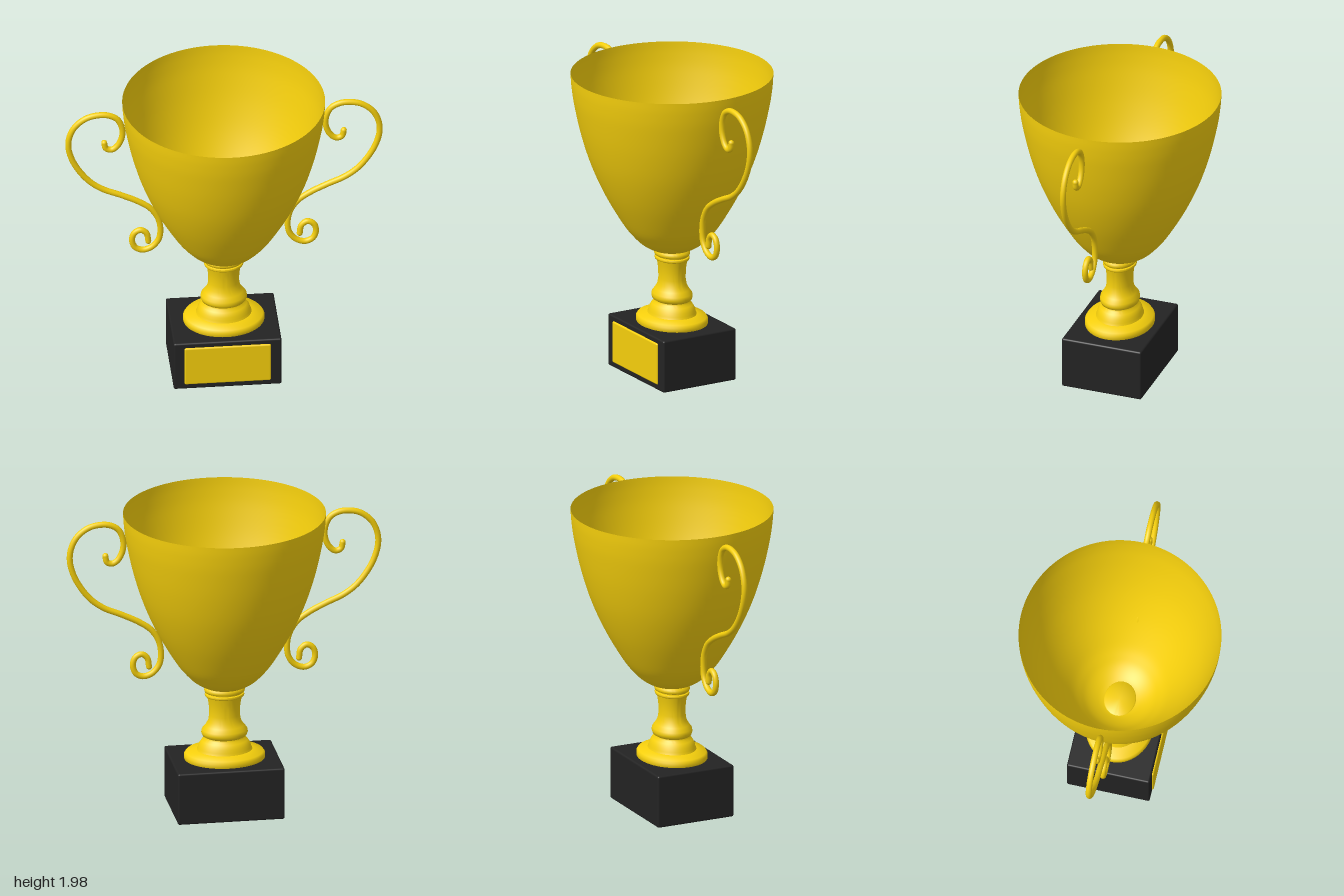
import * as THREE from 'three';
import { toCreasedNormals } from 'three/addons/utils/BufferGeometryUtils.js';
import { RoundedBoxGeometry } from 'three/addons/geometries/RoundedBoxGeometry.js';

const gold = new THREE.MeshStandardMaterial({ color: 0xf5cf0c });
const goldThin = new THREE.MeshStandardMaterial({ color: 0xf5cf0c, side: THREE.DoubleSide });
const black = new THREE.MeshStandardMaterial({ color: 0x232323 });

const toVectors = (pairs) => pairs.map(([x, y]) => new THREE.Vector2(x, y));

function addMesh(parent, name, geometry, material) {
  const mesh = new THREE.Mesh(geometry, material);
  mesh.name = name;
  parent.add(mesh);
  return mesh;
}

export function createModel() {
  const trophy = new THREE.Group();
  trophy.name = 'trophy';

  // Plinth with a raised plate on its front
  addMesh(trophy, 'plinth', new RoundedBoxGeometry(0.68, 0.34, 0.532, 3, 0.012), black)
    .position.set(0, 0.172, 0);
  addMesh(trophy, 'plate', new RoundedBoxGeometry(0.545, 0.27, 0.03, 3, 0.01), gold)
    .position.set(0, 0.175, 0.262);

  // Turned stem, slightly flattened front to back
  const stemProfile = toVectors([
    [0, 0.335], [0.25, 0.335], [0.256, 0.345], [0.256, 0.37], [0.245, 0.385],
    [0.175, 0.4], [0.168, 0.415], [0.163, 0.435], [0.145, 0.462], [0.125, 0.475], [0.122, 0.485],
    [0.14, 0.495], [0.147, 0.515], [0.143, 0.535], [0.122, 0.56], [0.104, 0.59], [0.097, 0.63],
    [0.098, 0.68], [0.103, 0.72], [0.11, 0.752], [0.122, 0.757], [0.125, 0.765], [0.122, 0.773],
    [0.112, 0.776], [0.112, 0.781], [0.124, 0.785], [0.129, 0.797], [0.126, 0.81],
    [0.112, 0.824], [0, 0.824],
  ]);
  const stemGeometry = new THREE.LatheGeometry(stemProfile, 64);
  stemGeometry.scale(1, 1, 0.84);
  addMesh(trophy, 'stem', toCreasedNormals(stemGeometry, 0.9), gold);

  // Thin open bowl
  const bowlCurve = new THREE.SplineCurve(toVectors([
    [0.08, 0.812], [0.13, 0.826], [0.19, 0.861], [0.242, 0.91], [0.312, 1.0], [0.422, 1.19],
    [0.51, 1.388], [0.572, 1.585], [0.615, 1.78], [0.632, 1.9], [0.637, 1.978],
  ]));
  addMesh(trophy, 'bowl', new THREE.LatheGeometry(bowlCurve.getPoints(50), 96), goldThin);

  // Scrolled handles: upper curl, sweep out and down, lower spiral
  const handlePath = [
    [0.755, 1.728], [0.745, 1.687], [0.711, 1.674], [0.674, 1.698], [0.644, 1.762],
    [0.644, 1.837], [0.674, 1.901], [0.727, 1.932], [0.791, 1.938], [0.866, 1.92],
    [0.936, 1.864], [0.973, 1.789], [0.981, 1.709], [0.957, 1.612], [0.909, 1.521],
    [0.84, 1.436], [0.759, 1.377], [0.652, 1.329], [0.545, 1.275], [0.465, 1.217],
    [0.417, 1.142], [0.401, 1.056], [0.412, 0.981], [0.455, 0.926], [0.513, 0.907],
    [0.561, 0.93], [0.58, 0.987], [0.563, 1.038], [0.524, 1.056], [0.488, 1.028], [0.477, 0.97],
  ];
  for (const [name, side] of [['leftHandle', 1], ['rightHandle', -1]]) {
    const handle = new THREE.Group();
    handle.name = name;
    const points = handlePath.map(([x, y]) => new THREE.Vector3(side * x, y, 0.02));
    const curve = new THREE.CatmullRomCurve3(points);
    addMesh(handle, 'handleScroll', new THREE.TubeGeometry(curve, 220, 0.019, 14), gold);
    // Rounded tips close the tube
    for (const end of [points[0], points.at(-1)]) {
      addMesh(handle, 'handleTip', new THREE.SphereGeometry(0.019, 14, 10), gold).position.copy(end);
    }
    trophy.add(handle);
  }

  return trophy;
}
